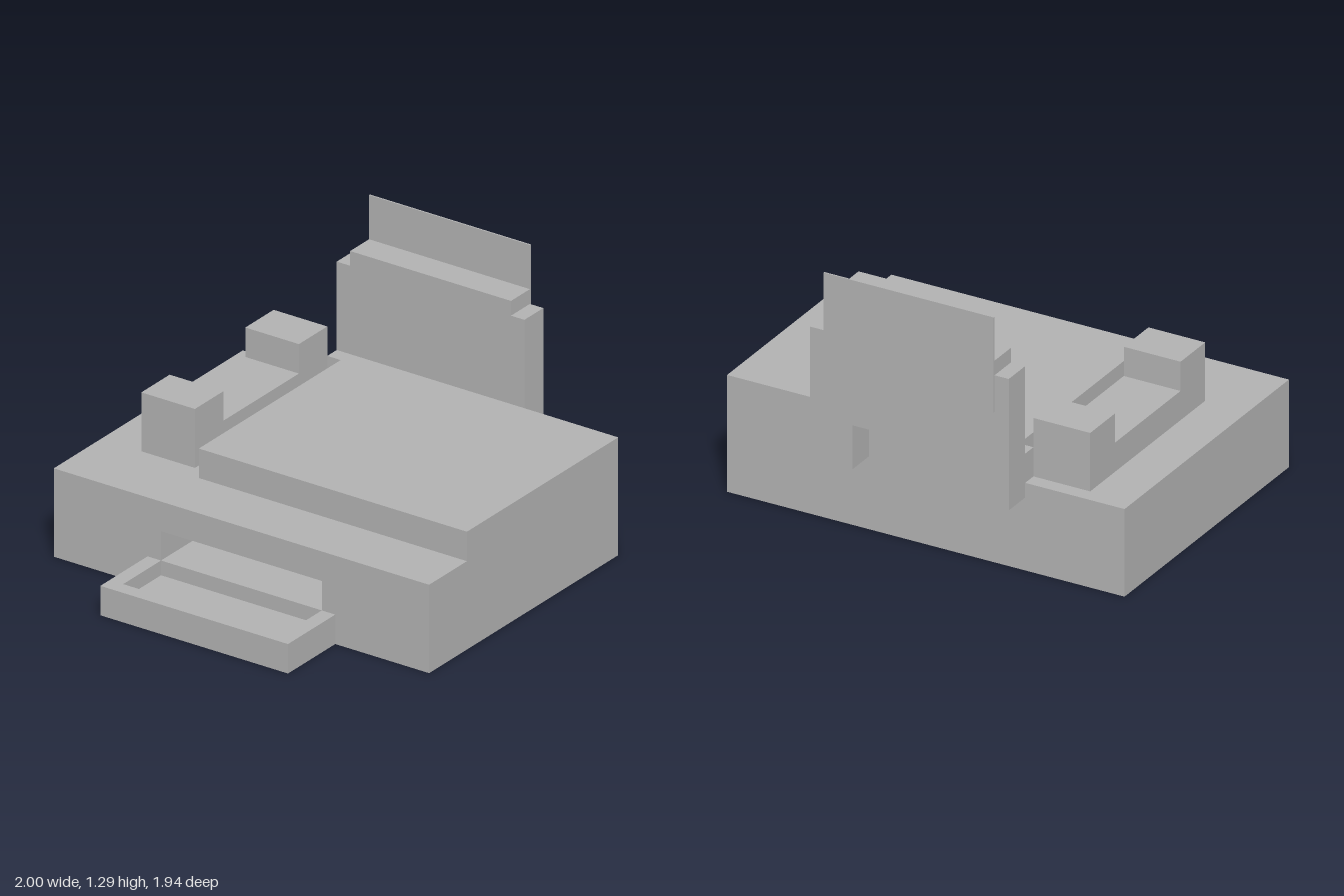
import * as THREE from 'three';

const U = 1 / 14; // modelling step
const FRONT = 0.611, BACK = -0.818; // body front and back in z

const grey = new THREE.MeshStandardMaterial({ color: 0xb2b2b2 });
grey.name = 'casing grey';

const toShape = (pts) => new THREE.Shape(pts.map(([a, b]) => new THREE.Vector2(a, b)));
const rect = (x0, y0, x1, y1) => [[x0, y0], [x1, y0], [x1, y1], [x0, y1]];

function extrude(pts, depth, hole) {
  const shape = toShape(pts);
  if (hole) shape.holes.push(toShape(hole));
  return new THREE.ExtrudeGeometry(shape, { depth, bevelEnabled: false });
}

export function createModel() {
  const model = new THREE.Group();
  model.name = 'faxMachine';

  const add = (name, geometry) => {
    const mesh = new THREE.Mesh(geometry, grey);
    mesh.name = name;
    model.add(mesh);
  };
  const box = (name, [x0, x1], [y0, y1], [z0, z1]) =>
    add(name, new THREE.BoxGeometry(x1 - x0, y1 - y0, z1 - z0)
      .translate((x0 + x1) / 2, (y0 + y1) / 2, (z0 + z1) / 2));

  // Body: solid rear, and a front section pierced by the paper slot
  const slotBack = FRONT - 5 * U;
  box('bodyRear', [-1, 1], [0, 6 * U], [BACK, slotBack]);
  add('bodyFront', extrude(rect(-1, 0, 1, 6 * U), FRONT - slotBack,
    rect(-6 * U, 2 * U, 6 * U, 4 * U)).translate(0, 0, slotBack));

  // Raised lid, with a small tab behind the handset
  const lidFront = FRONT - 4 * U, tabFront = BACK + U;
  add('lid', extrude([
    [-7 * U, BACK], [1, BACK], [1, lidFront], [-6 * U, lidFront],
    [-6 * U, tabFront], [-7 * U, tabFront],
  ], 2 * U).rotateX(Math.PI / 2).translate(0, 8 * U, 0));

  // Handset: side profile with two raised ends
  const h0 = tabFront, h1 = tabFront + 14 * U;
  add('handset', extrude([
    [h0, 6 * U], [h1, 6 * U], [h1, 10 * U], [h1 - 3 * U, 10 * U],
    [h1 - 3 * U, 8 * U], [h0 + 3 * U, 8 * U], [h0 + 3 * U, 10 * U], [h0, 10 * U],
  ], 4 * U).rotateY(-Math.PI / 2).translate(-7 * U, 0, 0));

  // Output tray: floor and open rim
  const trayFront = FRONT + 5 * U;
  box('trayFloor', [-7 * U, 7 * U], [0, U], [FRONT, trayFront]);
  add('trayRim', extrude([
    [-7 * U, FRONT], [-6 * U, FRONT], [-6 * U, trayFront - U], [6 * U, trayFront - U],
    [6 * U, FRONT], [7 * U, FRONT], [7 * U, trayFront], [-7 * U, trayFront],
  ], U).rotateX(Math.PI / 2).translate(0, 2 * U, 0));

  // Rear paper support on two legs, with a raised centre
  const plateBack = BACK - 2 * U;
  add('paperSupport', extrude([
    [-7 * U, 5 * U], [-3 * U - U, 5 * U], [-4 * U, 8 * U], [4 * U, 8 * U],
    [4 * U, 5 * U], [7 * U, 5 * U], [7 * U, 14 * U], [6 * U, 14 * U],
    [6 * U, 15 * U], [-6 * U, 15 * U], [-6 * U, 14 * U], [-7 * U, 14 * U],
  ], 2 * U).translate(0, 0, plateBack));

  // Paper sheet with a narrow strip hanging at one edge
  add('paper', extrude([
    [-6 * U, 11.5 * U], [-5 * U, 11.5 * U], [-5 * U, 13 * U],
    [6 * U, 13 * U], [6 * U, 18 * U], [-6 * U, 18 * U],
  ], 0.007).translate(0, 0, plateBack - 0.007));

  return model;
}
